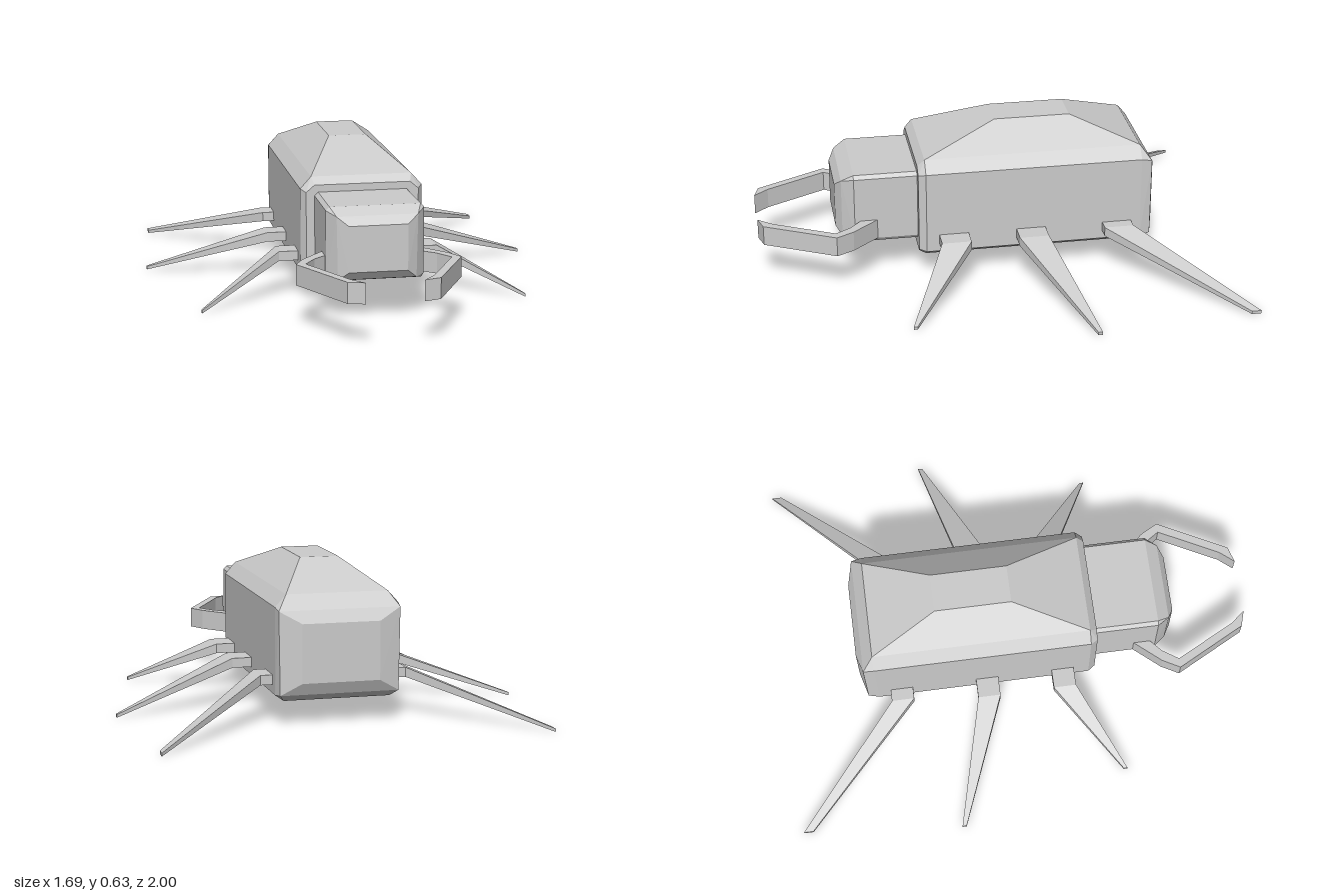
import * as THREE from 'three';
import { ConvexGeometry } from 'three/addons/geometries/ConvexGeometry.js';

const material = new THREE.MeshStandardMaterial({ color: 0xcccccc, flatShading: true });

function addMesh(parent, name, geometry) {
  const mesh = new THREE.Mesh(geometry, material);
  mesh.name = name;
  parent.add(mesh);
}

// Convex solid through stations [z, [[x, y], ...]], each mirrored across x
function hullFromSections(sections) {
  const points = [];
  for (const [z, profile] of sections)
    for (const [x, y] of profile)
      for (const s of [-1, 1]) points.push(new THREE.Vector3(s * x, y, z));
  return new ConvexGeometry(points);
}

// Four corners of an upright rectangle in the plane x = constant
function rect(x, zMin, zMax, yMin, yMax) {
  return [[yMin, zMin], [yMax, zMin], [yMin, zMax], [yMax, zMax]]
    .map(([y, z]) => new THREE.Vector3(x, y, z));
}

export function createModel() {
  const model = new THREE.Group();
  model.name = 'beetle';

  // Bevelled body with its raised, hipped back
  addMesh(model, 'body', hullFromSections([
    [-0.68, [[0.16, 0.18], [0.16, 0.42]]],
    [-0.655, [[0.245, 0.13], [0.25, 0.47]]],
    [-0.61, [[0.22, 0.10], [0.255, 0.125], [0.255, 0.48], [0.21, 0.53]]],
    [-0.33, [[0.08, 0.635]]],
    [-0.01, [[0.08, 0.635]]],
    [0.305, [[0.22, 0.10], [0.255, 0.125], [0.255, 0.48], [0.21, 0.53]]],
    [0.335, [[0.225, 0.12], [0.235, 0.13], [0.235, 0.47], [0.2, 0.5]]],
  ]));

  // Head with a narrowing face
  addMesh(model, 'head', hullFromSections([
    [0.30, [[0.19, 0.165], [0.2, 0.18], [0.2, 0.455], [0.185, 0.47]]],
    [0.60, [[0.19, 0.165], [0.2, 0.18], [0.2, 0.455], [0.185, 0.47]]],
    [0.65, [[0.16, 0.18], [0.165, 0.44]]],
    [0.675, [[0.12, 0.215], [0.12, 0.405]]],
  ]));

  // Leg layout: root z, knee x, then tip x, z and half-width
  const legs = [
    { name: 'Front', z: 0.19, knee: 0.335, tip: [0.68, 0.412, 0.008] },
    { name: 'Middle', z: -0.138, knee: 0.337, tip: [0.845, -0.312, 0.009] },
    { name: 'Back', z: -0.508, knee: 0.305, tip: [0.785, -0.978, 0.02] },
  ];
  // Flat outline of a pincer in x and z
  const pincer = [[0.17, 0.47], [0.2, 0.505], [0.295, 0.615], [0.335, 0.688], [0.183, 0.98],
    [0.115, 1.0], [0.165, 0.94], [0.295, 0.688], [0.25, 0.62], [0.17, 0.55]];

  for (const side of [1, -1]) {
    const label = side > 0 ? 'left' : 'right';

    const outline = new THREE.Shape(pincer.map(([x, z]) => new THREE.Vector2(side * x, z)));
    const jaw = new THREE.ExtrudeGeometry(outline, { depth: 0.085, bevelEnabled: false });
    jaw.rotateX(Math.PI / 2).translate(0, 0.265, 0);
    addMesh(model, label + 'Pincer', jaw);

    for (const { name, z, knee, tip } of legs) {
      const leg = new THREE.Group();
      leg.name = label + name + 'Leg';
      const half = side > 0 ? 0.062 : 0.048;
      const kneeRing = rect(side * knee, z - half, z + half, 0.16, 0.2);
      const rootRing = rect(side * 0.23, z - half, z + half, 0.16, 0.2);
      const tipRing = rect(side * tip[0], tip[1] - tip[2], tip[1] + tip[2], 0.003, 0.016);
      addMesh(leg, 'upperLeg', new ConvexGeometry([...rootRing, ...kneeRing]));
      addMesh(leg, 'lowerLeg', new ConvexGeometry([...kneeRing, ...tipRing]));
      model.add(leg);
    }
  }
  return model;
}
